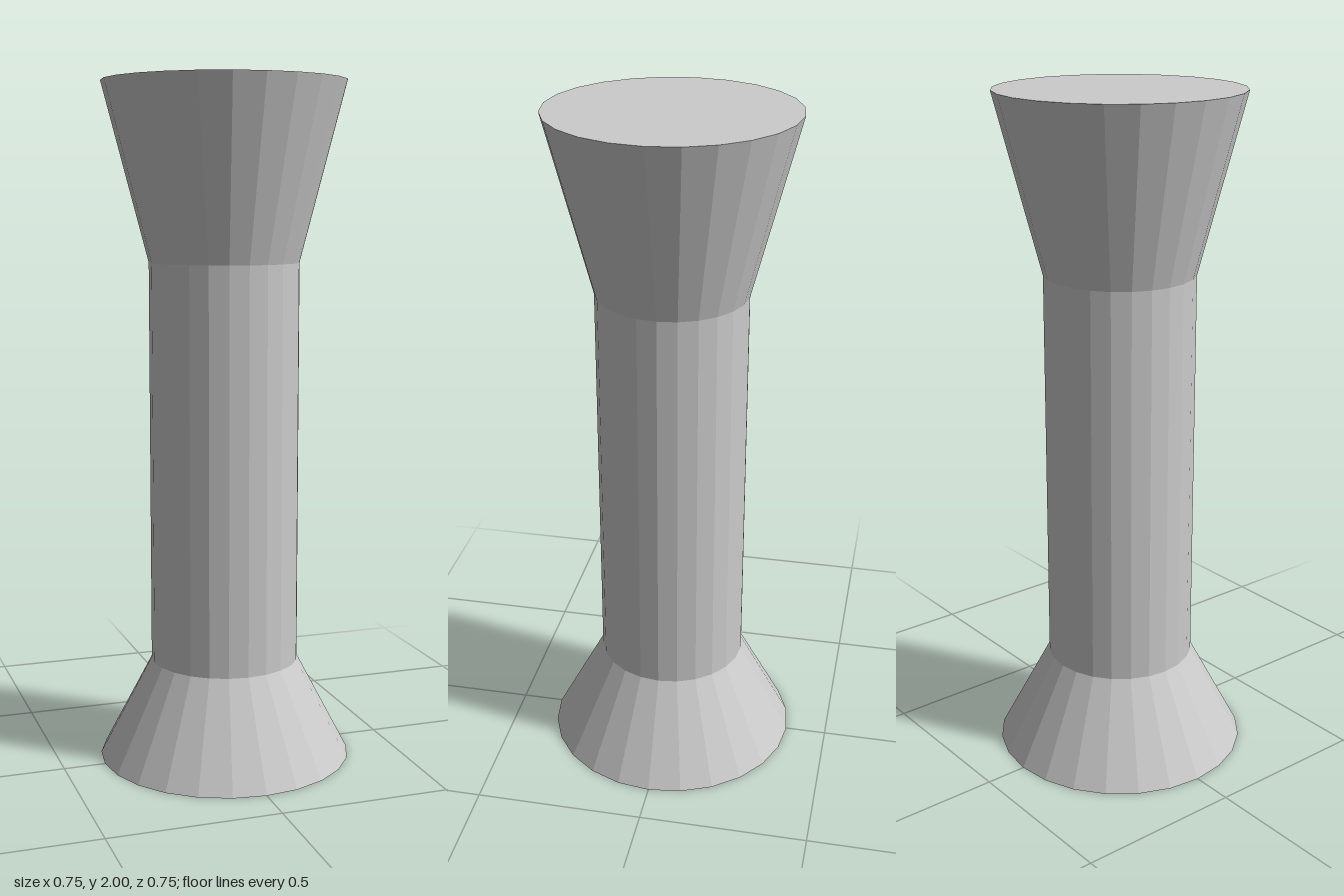
import * as THREE from 'three';

const SIDES = 24;

export function createModel() {
  const group = new THREE.Group();
  group.name = 'column';
  const material = new THREE.MeshStandardMaterial({ color: 0xcccccc, flatShading: true });

  // One faceted section between two heights; inner ends stay open where sections meet
  const addSection = (name, y0, y1, r0, r1) => {
    const geometry = new THREE.CylinderGeometry(r1, r0, y1 - y0, SIDES, 1, true);
    const mesh = new THREE.Mesh(geometry, material);
    mesh.name = name;
    mesh.position.y = (y0 + y1) / 2;
    group.add(mesh);
  };

  // Flat disc closing an outer end, facing up (1) or down (-1)
  const addCap = (name, y, r, facing) => {
    const geometry = new THREE.CircleGeometry(r, SIDES).rotateX(-facing * Math.PI / 2);
    const mesh = new THREE.Mesh(geometry, material);
    mesh.name = name;
    mesh.position.y = y;
    group.add(mesh);
  };

  addSection('flaredBase', 0, 0.297, 0.376, 0.22);
  addSection('shaft', 0.297, 1.484, 0.22, 0.22);
  addSection('flaredCapital', 1.484, 2, 0.22, 0.354);
  addCap('baseUnderside', 0, 0.376, -1);
  addCap('capitalTop', 2, 0.354, 1);

  return group;
}
